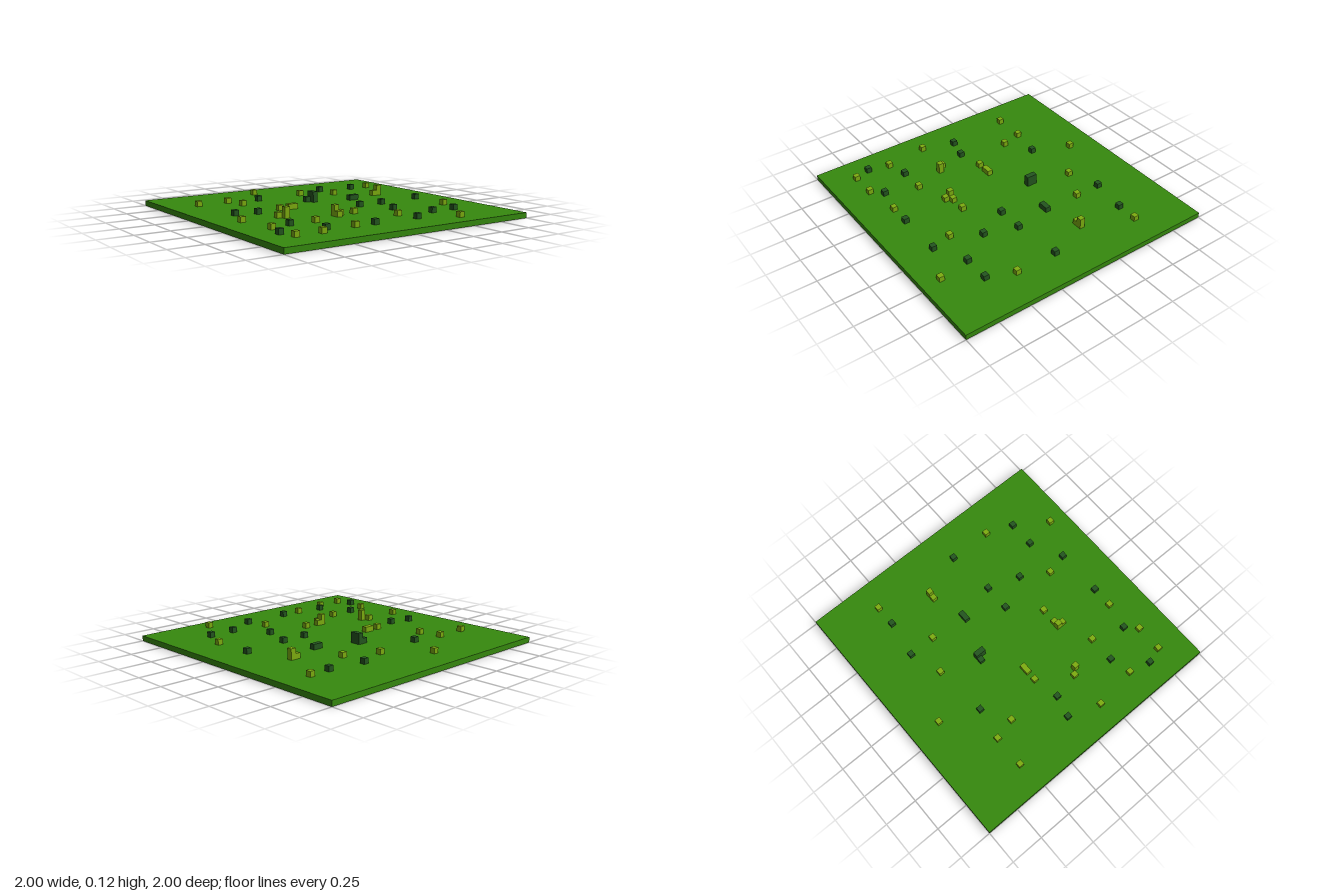
import * as THREE from 'three';

const CELL = 0.04; // edge of one block
const BASE_HEIGHT = 0.04;

// Each entry: x, z, and optional height in blocks
const LIGHT_TUFTS = [
  [-0.18, -0.78], [-0.78, -0.54], [-0.54, -0.54], [0.1, -0.54], [0.78, -0.58],
  [-0.5, -0.38], [0.34, -0.42], [0.58, -0.22], [0.62, -0.22, 2], [-0.38, -0.06],
  [-0.3, -0.06], [-0.26, -0.06], [-0.82, 0.18], [-0.54, 0.18], [-0.5, 0.22, 2],
  [-0.18, 0.34, 2], [-0.14, 0.34], [-0.18, 0.38], [-0.02, 0.34], [0.74, 0.42],
  [-0.78, 0.5], [-0.42, 0.46], [0.18, 0.58], [-0.3, 0.74], [-0.78, 0.78],
  [-0.58, 0.78], [0.5, 0.86],
];
const DARK_TUFTS = [
  [0.34, -0.62], [0.62, -0.58], [-0.3, -0.5], [-0.02, -0.26], [0.02, -0.26, 2],
  [0.02, -0.22, 2], [0.3, -0.14], [0.34, -0.14], [-0.74, -0.06], [-0.58, -0.02],
  [0.18, 0.14], [0.38, 0.14], [0.74, 0.1], [0.3, 0.38], [-0.62, 0.46],
  [-0.82, 0.66], [-0.5, 0.7], [-0.14, 0.74], [0.22, 0.74], [0.46, 0.62], [0.66, 0.62],
];

function flatMaterial(name, color) {
  const material = new THREE.MeshStandardMaterial({ color });
  material.name = name;
  return material;
}

// Group of block tufts standing on the ground slab
function tufts(name, cells, material) {
  const group = new THREE.Group();
  group.name = name;
  const block = new THREE.BoxGeometry(CELL, CELL, CELL).translate(0, CELL / 2, 0);
  for (const [x, z, levels = 1] of cells) {
    const tuft = new THREE.Mesh(block, material);
    tuft.name = 'grassTuft';
    tuft.position.set(x, BASE_HEIGHT, z);
    tuft.scale.y = levels;
    group.add(tuft);
  }
  return group;
}

export function createModel() {
  const model = new THREE.Group();
  model.name = 'grassTile';

  // Ground slab
  const ground = new THREE.Mesh(
    new THREE.BoxGeometry(2, BASE_HEIGHT, 2),
    flatMaterial('grass green', 0x368a0e),
  );
  ground.name = 'ground';
  ground.position.y = BASE_HEIGHT / 2;
  model.add(ground);

  // Scattered grass
  model.add(tufts('lightTufts', LIGHT_TUFTS, flatMaterial('lime green', 0x7eae10)));
  model.add(tufts('darkTufts', DARK_TUFTS, flatMaterial('dark green', 0x24561f)));
  return model;
}
